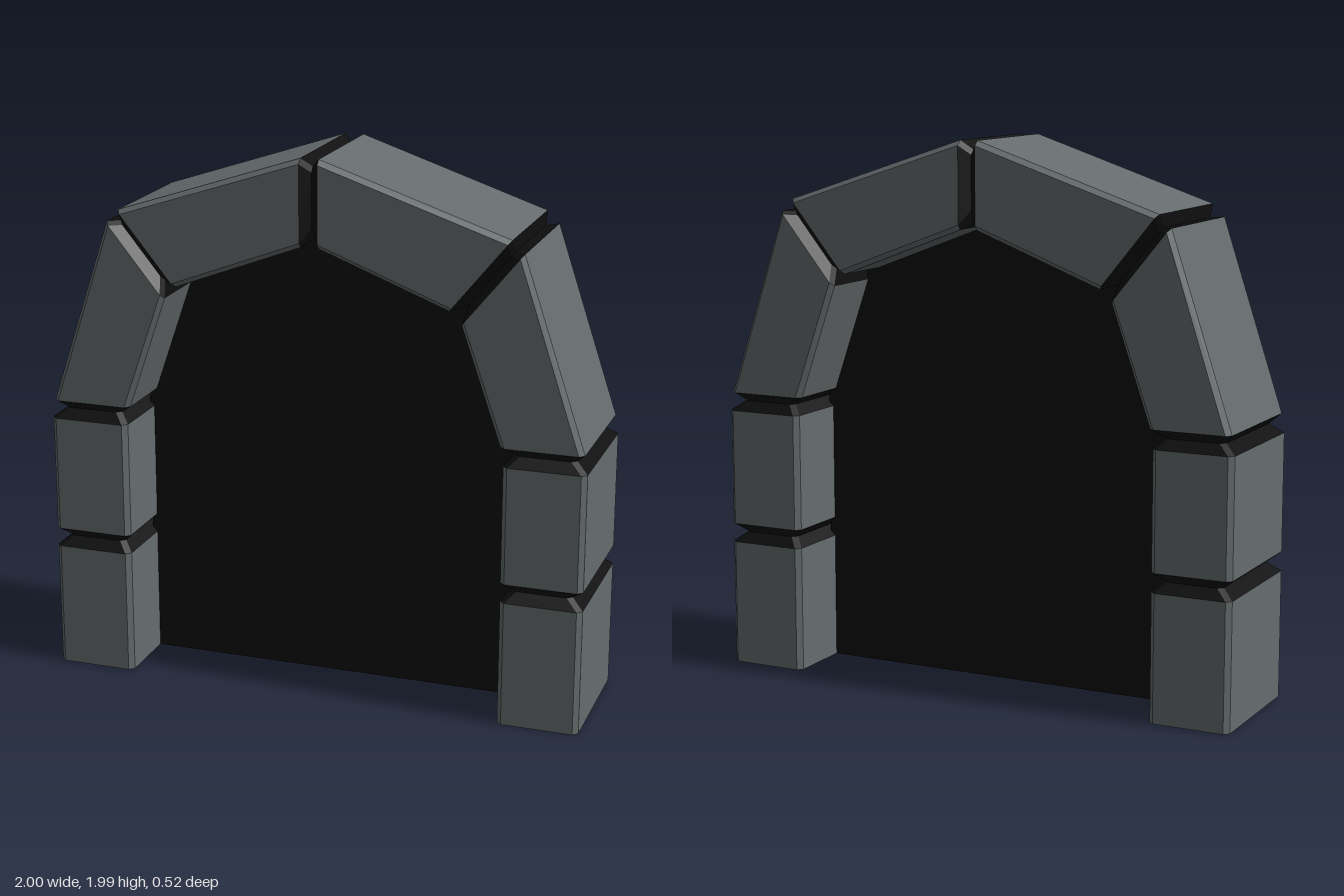
import * as THREE from 'three';

const stone = new THREE.MeshStandardMaterial({ color: 0x666c6e, side: THREE.DoubleSide, flatShading: true });
stone.name = 'grey stone';
const black = new THREE.MeshStandardMaterial({ color: 0x0d0d0d, side: THREE.DoubleSide, flatShading: true });
black.name = 'black mortar';

const HALF_DEPTH = 0.26, GAP = 0.035, CHAMFER = 0.018;

// joints on the left half as [outer, inner], mirrored to complete the arch
const half = [
  [[-1, 0], [-0.703, 0]],
  [[-1, 0.5], [-0.703, 0.5]],
  [[-1, 1], [-0.703, 1]],
  [[-0.75, 1.75], [-0.535, 1.485]],
  [[0, 2], [0, 1.69]],
].map(j => j.map(p => new THREE.Vector2(...p)));
const flip = p => new THREE.Vector2(-p.x, p.y);
const joints = [...half, ...half.slice(0, -1).reverse().map(j => j.map(flip))];

// chamfered rectangle across the arch, spanning outer to inner
function section([outer, inner], insetOuter = 0, insetInner = 0, insetZ = 0) {
  const dir = inner.clone().sub(outer);
  const u0 = insetOuter, u1 = dir.length() - insetInner, z = HALF_DEPTH - insetZ, c = CHAMFER;
  dir.normalize();
  return [
    [u1, -z + c], [u1, z - c], [u1 - c, z], [u0 + c, z],
    [u0, z - c], [u0, -z + c], [u0 + c, -z], [u1 - c, -z],
  ].map(([u, w]) => [outer.x + dir.x * u, outer.y + dir.y * u, w]);
}

// open band between two sections
function band(a, b, material, name) {
  const pos = [];
  for (let i = 0; i < a.length; i++) {
    const k = (i + 1) % a.length;
    pos.push(...a[i], ...b[i], ...b[k], ...a[i], ...b[k], ...a[k]);
  }
  const geo = new THREE.BufferGeometry();
  geo.setAttribute('position', new THREE.Float32BufferAttribute(pos, 3));
  geo.computeVertexNormals();
  const mesh = new THREE.Mesh(geo, material);
  mesh.name = name;
  return mesh;
}

// joint slid along the arch towards its neighbour
const slide = (from, to, d) => from.map((p, i) =>
  p.clone().add(to[i].clone().sub(p).setLength(d)));

export function createModel() {
  const group = new THREE.Group();
  group.name = 'stoneArch';
  const last = joints.length - 1;

  // stones with tapering black mortar grooves at each joint; the feet stay open
  for (let i = 0; i < last; i++) {
    const a = joints[i], b = joints[i + 1];
    const start = section(i === 0 ? a : slide(a, b, GAP));
    const end = section(i + 1 === last ? b : slide(b, a, GAP));
    group.add(band(start, end, stone, `archStone${i + 1}`));
    if (i > 0) group.add(band(section(a, 0.045, 0.037, 0.037), start, black, `mortarAbove${i}`));
    if (i + 1 < last) group.add(band(end, section(b, 0.045, 0.037, 0.037), black, `mortarBelow${i + 1}`));
  }

  // dark doorway sheet, tucked slightly into the stones
  const outline = joints.map(([outer, inner]) =>
    inner.clone().add(outer.clone().sub(inner).setLength(0.018)));
  const doorway = new THREE.Mesh(new THREE.ShapeGeometry(new THREE.Shape(outline)), black);
  doorway.name = 'darkDoorway';
  group.add(doorway);

  return group;
}
